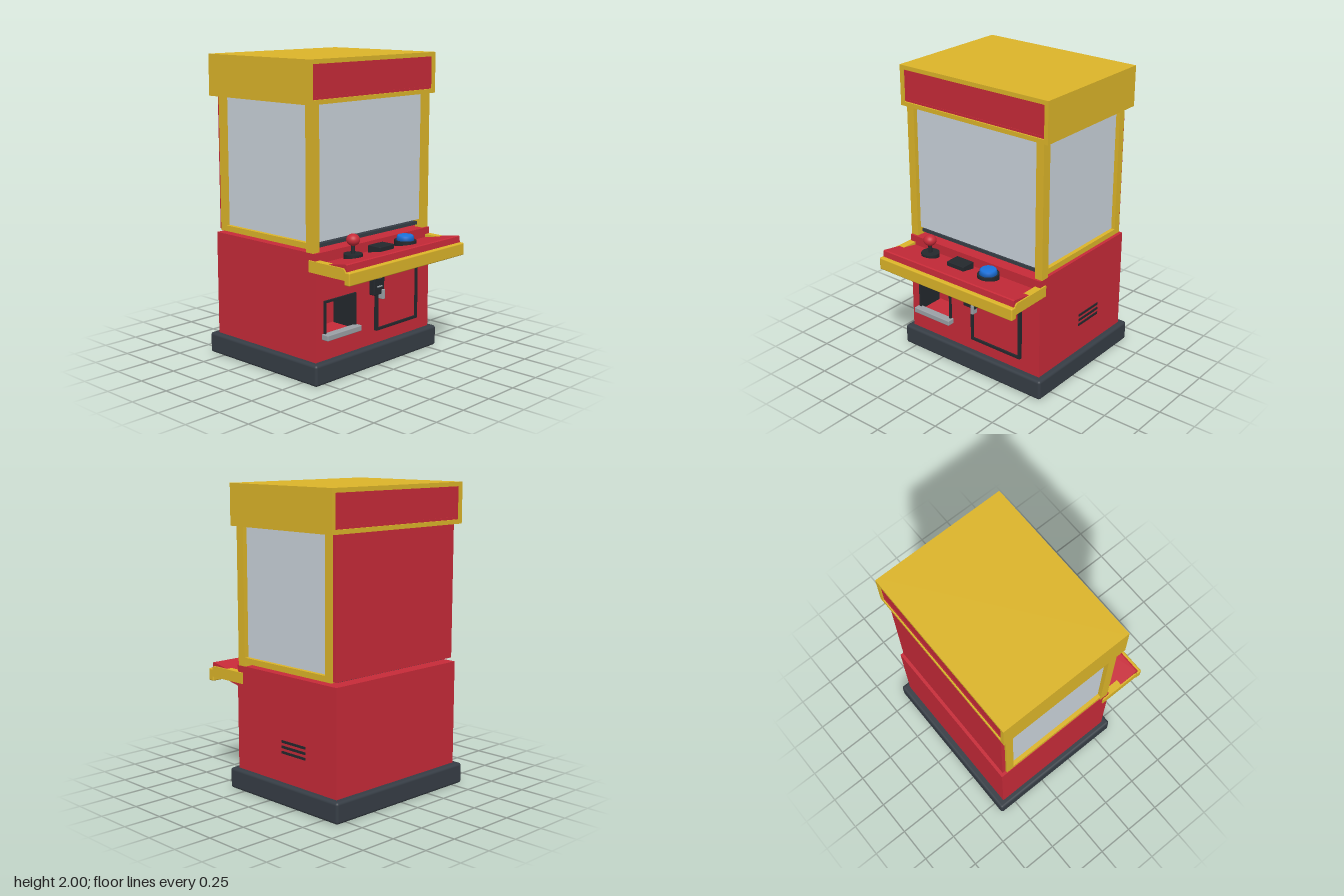
import * as THREE from 'three';
import { RoundedBoxGeometry } from 'three/addons/geometries/RoundedBoxGeometry.js';

const mat = (color) => new THREE.MeshStandardMaterial({ color });

export function createModel() {
  const root = new THREE.Group();
  const red = mat(0xc62a38), yellow = mat(0xdbb429), dark = mat(0x363d45), black = mat(0x23282d);
  const glass = mat(0xc9d2da), blue = mat(0x1c72dc), metal = mat(0x9aa0a5);

  const add = (name, geometry, material, x = 0, y = 0, z = 0, parent = root) => {
    const m = new THREE.Mesh(geometry, material);
    m.name = name;
    m.position.set(x, y, z);
    parent.add(m);
    return m;
  };
  // Box given by its limits; r > 0 rounds the edges
  const box = (name, material, [x0, x1], [y0, y1], [z0, z1], r = 0) => {
    const s = [x1 - x0, y1 - y0, z1 - z0];
    const g = r ? new RoundedBoxGeometry(...s, 3, r) : new THREE.BoxGeometry(...s);
    return add(name, g, material, (x0 + x1) / 2, (y0 + y1) / 2, (z0 + z1) / 2);
  };
  const rect = (Type, [x0, x1], [y0, y1]) => new Type([
    [x0, y0], [x1, y0], [x1, y1], [x0, y1],
  ].map((p) => new THREE.Vector2(...p)));
  // Rectangular plate with a rectangular opening, extruded along z
  const frame = (name, material, xs, ys, holeX, holeY, [z0, z1]) => {
    const s = rect(THREE.Shape, xs, ys);
    s.holes.push(rect(THREE.Path, holeX, holeY));
    return add(name, new THREE.ExtrudeGeometry(s, { depth: z1 - z0, bevelEnabled: false }), material, 0, 0, z0);
  };
  const rim = (name, material, [x0, x1], [y0, y1], t, zs) =>
    frame(name, material, [x0, x1], [y0, y1], [x0 + t, x1 - t], [y0 + t, y1 - t], zs);
  const cylinder = (name, material, rTop, rBottom, y0, y1, x, z) =>
    add(name, new THREE.CylinderGeometry(rTop, rBottom, y1 - y0, 40), material, x, (y0 + y1) / 2, z);

  // Plinth and lower cabinet with the prize opening cut into its front
  box('plinth', dark, [-0.585, 0.585], [0, 0.138], [-0.625, 0.38], 0.018);
  box('cabinetRear', red, [-0.545, 0.545], [0.13, 0.83], [-0.578, 0.15]);
  frame('cabinetFront', red, [-0.545, 0.545], [0.13, 0.83], [-0.465, -0.2], [0.29, 0.51], [0.15, 0.335]);

  // Prize opening
  rim('prizeLining', black, [-0.475, -0.19], [0.275, 0.522], 0.014, [0.16, 0.348]);
  box('prizeLip', metal, [-0.488, -0.178], [0.275, 0.312], [0.33, 0.386], 0.005);

  // Service door
  rim('doorFrame', black, [-0.005, 0.405], [0.228, 0.665], 0.017, [0.33, 0.358]);
  box('doorPanel', red, [0.012, 0.388], [0.245, 0.648], [0.33, 0.345]);

  // Coin acceptor
  box('coinBox', black, [-0.053, 0.048], [0.475, 0.638], [0.33, 0.376], 0.006);
  for (const y of [0.53, 0.588]) box('coinSlot', metal, [-0.027, 0.023], [y - 0.004, y + 0.004], [0.37, 0.382]);
  box('coinLever', metal, [0.02, 0.041], [0.44, 0.505], [0.345, 0.388], 0.004);

  // Vents on one side
  for (const y of [0.335, 0.37, 0.405]) {
    box('ventSlot', black, [0.535, 0.55], [y - 0.008, y + 0.008], [-0.305, -0.09]);
  }

  // Window section: posts, rails, floor and panes
  for (const s of [-1, 1]) {
    const span = (a, b) => (s > 0 ? [a, b] : [-b, -a]);
    const side = s > 0 ? 'left' : 'right';
    box(side + 'FrontPost', yellow, span(0.492, 0.548), [0.83, 1.74], [0.258, 0.32]);
    box(side + 'BackPost', yellow, span(0.492, 0.545), [0.85, 1.74], [-0.535, -0.482]);
    box(side + 'BottomRail', yellow, span(0.492, 0.545), [0.85, 0.888], [-0.482, 0.258]);
    box(side + 'Pane', glass, span(0.508, 0.518), [0.886, 1.74], [-0.484, 0.26]);
  }
  box('frontPane', glass, [-0.494, 0.494], [0.885, 1.74], [0.28, 0.29]);
  box('playfieldFloor', dark, [-0.493, 0.493], [0.846, 0.868], [-0.535, 0.275]);
  box('chuteDuct', dark, [-0.43, -0.125], [0.826, 0.85], [0.05, 0.23]);
  for (const z of [0.05, 0.22]) box('chuteRim', yellow, [-0.395, -0.2], [0.866, 0.886], [z, z + 0.012]);
  for (const x of [-0.395, -0.212]) box('chuteRim', yellow, [x, x + 0.012], [0.866, 0.886], [0.05, 0.232]);
  box('backPanel', red, [-0.53, 0.53], [0.855, 1.74], [-0.56, -0.534]);

  // Header with recessed sign panels front and back
  box('headerCore', yellow, [-0.585, 0.585], [1.732, 2], [-0.563, 0.318]);
  for (const [z0, z1, p0, p1] of [[0.318, 0.335, 0.316, 0.324], [-0.58, -0.563, -0.569, -0.561]]) {
    rim('signFrame', yellow, [-0.585, 0.585], [1.732, 2], 0.028, [z0, z1]);
    box('signPanel', red, [-0.557, 0.557], [1.76, 1.972], [p0, p1]);
    rim('signBorder', red, [-0.555, 0.555], [1.762, 1.97], 0.014, [p0 - 0.003, p1 + 0.003]);
  }

  // Control shelf: sloping deck between two arms, with a lip in front
  const profile = (name, material, points, width, x) => {
    const s = new THREE.Shape(points.map(([z, y]) => new THREE.Vector2(-z, y)));
    const g = new THREE.ExtrudeGeometry(s, { depth: width, bevelEnabled: false });
    g.rotateY(Math.PI / 2);
    return add(name, g, material, x, 0, 0);
  };
  profile('controlDeck', red, [[0.3, 0.684], [0.585, 0.738], [0.6, 0.75], [0.594, 0.805], [0.584, 0.809], [0.3, 0.759]], 1.09, -0.545);
  const arm = [[0.285, 0.712], [0.59, 0.712], [0.59, 0.77], [0.575, 0.785], [0.285, 0.785]];
  profile('leftArm', yellow, arm, 0.05, 0.505);
  profile('rightArm', yellow, arm, 0.05, -0.555);
  box('shelfLip', yellow, [-0.555, 0.555], [0.682, 0.765], [0.582, 0.627], 0.008);

  // Joystick
  cylinder('joystickBase', black, 0.06, 0.06, 0.765, 0.805, -0.295, 0.415);
  cylinder('joystickShaft', black, 0.013, 0.013, 0.8, 0.87, -0.295, 0.415);
  add('joystickBall', new THREE.SphereGeometry(0.043, 32, 20), red, -0.295, 0.892, 0.415).scale.y = 0.88;

  // Display plate and push button
  box('displayPlate', black, [-0.104, 0.034], [0.765, 0.818], [0.366, 0.468], 0.004);
  cylinder('buttonRing', black, 0.068, 0.068, 0.765, 0.81, 0.2, 0.418).scale.z = 1.1;
  const cap = [[0, 0.845], [0.048, 0.843], [0.054, 0.837], [0.06, 0.8], [0, 0.8]].reverse();
  add('buttonCap', new THREE.LatheGeometry(cap.map((p) => new THREE.Vector2(...p)), 40), blue, 0.2, 0, 0.418);

  return root;
}
